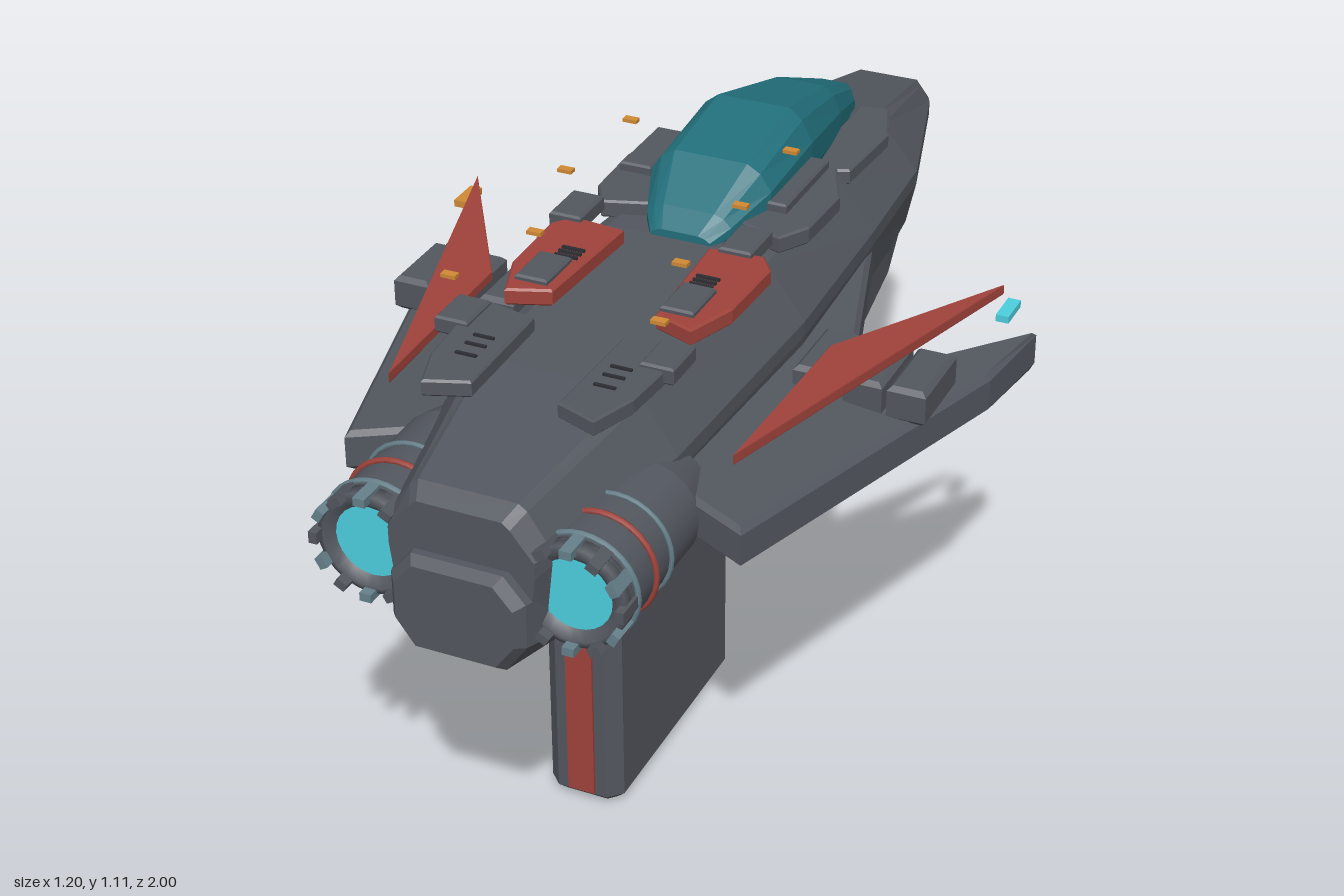
import * as THREE from 'three';

const mat = (name, color) => Object.assign(new THREE.MeshStandardMaterial({ color }), { name });

export function createModel() {
  const M = {
    hull: mat('hull grey', 0x53575f),
    dark: mat('vent dark', 0x2c2e33),
    red: mat('accent red', 0xa0433b),
    glass: mat('canopy teal', 0x22707c),
    glow: mat('engine cyan', 0x4ccfdf),
    amber: mat('marker amber', 0xd08a35),
    trim: mat('trim blue grey', 0x66808a),
  };
  const ship = new THREE.Group();
  ship.name = 'spaceship';

  const add = (name, geo, material, x = 0, y = 0, z = 0, parent = ship) => {
    const m = new THREE.Mesh(geo, material);
    m.name = name;
    m.position.set(x, y, z);
    parent.add(m);
    return m;
  };
  const box = (name, material, x0, x1, y0, y1, z0, z1) =>
    add(name, new THREE.BoxGeometry(Math.abs(x1 - x0), y1 - y0, z1 - z0), material,
      (x0 + x1) / 2, (y0 + y1) / 2, (z0 + z1) / 2);

  // Plate with a bevelled rim, outlined by [x, z] corners
  const plate = (pts, y0, y1, b) => {
    const shape = new THREE.Shape(pts.map(([x, z]) => new THREE.Vector2(x, -z)));
    const g = new THREE.ExtrudeGeometry(shape, {
      depth: y1 - y0 - 2 * b, bevelEnabled: b > 0, bevelSize: b, bevelOffset: -b, bevelThickness: b, bevelSegments: 1,
    });
    return g.rotateX(-Math.PI / 2).translate(0, y0 + b, 0);
  };

  // Faceted body: each section is [z, [x, y]...] for the +x half, bottom to top
  const loft = (sections) => {
    const rings = sections.map(([z, ...half]) => [
      ...half.map(([x, y]) => [x, y, z]),
      ...half.slice().reverse().map(([x, y]) => [-x, y, z]),
    ]);
    const n = rings[0].length, pos = [];
    const tri = (a, b, c) => pos.push(...a, ...b, ...c);
    for (let k = 0; k < rings.length - 1; k++) {
      for (let i = 0; i < n; i++) {
        const j = (i + 1) % n, A = rings[k], B = rings[k + 1];
        tri(A[i], A[j], B[j]);
        tri(A[i], B[j], B[i]);
      }
    }
    const first = rings[0], last = rings[rings.length - 1];
    for (let i = 1; i < n - 1; i++) {
      tri(first[0], first[i + 1], first[i]);
      tri(last[0], last[i], last[i + 1]);
    }
    const g = new THREE.BufferGeometry();
    g.setAttribute('position', new THREE.Float32BufferAttribute(pos, 3));
    g.computeVertexNormals();
    return g;
  };

  // Upper hull: z, widest, top half width, bottom, widest height, top
  add('upperHull', loft([
    [-1, 0.085, 0.06, 0.74, 0.80, 0.845],
    [-0.98, 0.095, 0.07, 0.73, 0.80, 0.855],
    [-0.62, 0.2, 0.11, 0.71, 0.82, 0.93],
    [-0.3, 0.23, 0.14, 0.69, 0.84, 0.96],
    [0.1, 0.25, 0.16, 0.68, 0.85, 0.975],
    [0.6, 0.225, 0.15, 0.68, 0.84, 0.957],
    [0.93, 0.15, 0.1, 0.68, 0.83, 0.915],
    [0.965, 0.135, 0.085, 0.69, 0.82, 0.895],
  ].map(([z, w, t, y0, ym, y1]) =>
    [z, [w * 0.9, y0], [w, ym - 0.02], [w, ym + 0.01], [t + (w - t) * 0.15, y1 - 0.012], [t * 0.92, y1]])), M.hull);

  // Lower hull: z, widest, bottom half width, bottom, top
  add('lowerHull', loft([
    [-0.96, 0.075, 0.055, 0.675, 0.725],
    [-0.94, 0.09, 0.065, 0.665, 0.735],
    [-0.5, 0.19, 0.1, 0.612, 0.75],
    [-0.15, 0.23, 0.13, 0.562, 0.77],
    [0.3, 0.24, 0.13, 0.565, 0.78],
    [0.7, 0.21, 0.13, 0.575, 0.79],
    [0.98, 0.125, 0.085, 0.615, 0.802],
    [1, 0.11, 0.075, 0.63, 0.79],
  ].map(([z, w, b, y0, y1]) => {
    const h = y1 - y0;
    return [z, [b, y0], [w, y0 + h * 0.3], [w, y0 + h * 0.75], [b, y1]];
  })), M.hull);

  // Canopy: z, widest, bottom, top
  add('canopy', loft([
    [-0.69, 0.035, 0.88, 0.945],
    [-0.66, 0.045, 0.89, 0.975],
    [-0.48, 0.085, 0.92, 1.05],
    [-0.24, 0.122, 0.95, 1.11],
    [-0.04, 0.122, 0.96, 1.082],
    [0.06, 0.085, 0.965, 1.02],
    [0.1, 0.06, 0.965, 0.99],
  ].map(([z, w, y0, y1]) => {
    const h = y1 - y0;
    return [z, [w * 0.85, y0], [w, y0 + h * 0.25], [w, y0 + h * 0.6], [w * 0.82, y0 + h * 0.87], [w * 0.6, y1]];
  })), M.glass);

  // Ventral fin with chamfered corners and a trailing stripe
  add('ventralFin', plate([[0.05, 0.55], [0.075, 0.525], [0.075, 0.055], [0.05, 0.03],
    [-0.05, 0.03], [-0.075, 0.055], [-0.075, 0.525], [-0.05, 0.55]], 0, 0.62, 0.02), M.hull);
  box('finStripe', M.red, -0.027, 0.027, 0.025, 0.58, 0.548, 0.556);

  for (const s of [1, -1]) {
    const side = s > 0 ? 'left' : 'right';
    const flip = (pts) => pts.map(([x, z]) => [s * x, z]);

    // Forward-swept wing, drooping toward the tip
    const wing = plate(flip([[0.17, -0.42], [0.21, -0.36], [0.34, 0.07], [0.4, 0.08], [0.6, -0.2],
      [0.578, 0.0], [0.38, 0.69], [0.27, 0.65], [0.12, 0.63]]), -0.04, 0.04, 0.01);
    const p = wing.attributes.position;
    for (let i = 0; i < p.count; i++) p.setY(i, p.getY(i) + 0.765 - 0.125 * (Math.abs(p.getX(i)) - 0.3));
    wing.computeVertexNormals();
    add(side + 'Wing', wing, M.hull);
    add(side + 'WingBlade', plate(flip([[0.55, -0.14], [0.34, 0.2], [0.33, 0.61]]), 0.865, 0.885, 0.002), M.red);
    for (const x of [0.318, 0.415, 0.498]) {
      add(side + 'WingPod', plate([[-0.037, 0.07], [0.037, 0.07], [0.037, 0.23], [-0.037, 0.23]],
        0.775, 0.845, 0.009), M.hull, s * x);
    }
    box(side + 'TipLight', s > 0 ? M.glow : M.amber, s * 0.553, s * 0.578, 0.834, 0.848, -0.16, -0.09);

    // Engine nacelle
    const engine = new THREE.Group();
    engine.name = side + 'Engine';
    engine.position.set(s * 0.19, 0.765, 0);
    ship.add(engine);
    const drum = (name, r0, r1, z0, z1, m) =>
      add(name, new THREE.CylinderGeometry(r1, r0, z1 - z0, 24).rotateX(Math.PI / 2), m, 0, 0, (z0 + z1) / 2, engine);
    drum('nacelleNose', 0.075, 0.098, 0.56, 0.65, M.hull);
    drum('nacelle', 0.098, 0.098, 0.65, 0.92, M.hull);
    drum('exhaustGlow', 0.068, 0.068, 0.9, 0.93, M.glow);
    const band = (name, r, z, t, m) => add(name, new THREE.TorusGeometry(r, t, 6, 32), m, 0, 0, z, engine);
    band('frontBand', 0.1, 0.77, 0.005, M.trim);
    band('redBand', 0.1, 0.83, 0.006, M.red);
    band('rearBand', 0.1, 0.9, 0.006, M.trim);
    add('exhaustRim', new THREE.LatheGeometry([[0.068, 0.91], [0.098, 0.91], [0.098, 0.94], [0.085, 0.945], [0.068, 0.93]]
      .map(([r, z]) => new THREE.Vector2(r, z)), 24).rotateX(Math.PI / 2), 
      Object.assign(M.hull, { side: THREE.DoubleSide }), 0, 0, 0, engine);
    for (let i = 0; i < 12; i++) {
      const a = (i / 12) * Math.PI * 2;
      const lug = add('exhaustLug', new THREE.BoxGeometry(0.016, 0.022, 0.055), i % 2 ? M.trim : M.hull,
        Math.cos(a) * 0.095, Math.sin(a) * 0.095, 0.935, engine);
      lug.rotation.z = a;
    }

    // Dorsal armour plates
    add(side + 'NosePlate', plate(flip([[0.08, -0.6], [0.14, -0.61], [0.18, -0.5], [0.17, -0.32], [0.08, -0.28]]),
      0.93, 0.962, 0.004), M.hull);
    add(side + 'MidPlate', plate(flip([[0.09, -0.25], [0.17, -0.25], [0.22, -0.14], [0.215, 0.0], [0.18, 0.06], [0.09, 0.03]]),
      0.965, 1.0, 0.004), M.hull);
    add(side + 'RedPlate', plate(flip([[0.085, 0.16], [0.19, 0.15], [0.22, 0.19], [0.215, 0.35], [0.18, 0.45], [0.1, 0.42]]),
      0.975, 1.008, 0.004), M.red);
    add(side + 'RearPlate', plate(flip([[0.085, 0.52], [0.18, 0.5], [0.2, 0.56], [0.19, 0.7], [0.16, 0.79], [0.08, 0.76]]),
      0.978, 1.01, 0.004), M.hull);

    // Vent slots
    for (const z of [0.27, 0.285, 0.3]) box('ventSlot', M.dark, s * 0.11, s * 0.155, 1.006, 1.013, z - 0.003, z + 0.003);
    for (const z of [0.62, 0.65, 0.685]) box('ventSlot', M.dark, s * 0.11, s * 0.15, 1.008, 1.014, z - 0.003, z + 0.003);
  }

  // Deck hatches: centre x, z range
  for (const [x, z0, z1] of [[-0.17, -0.24, -0.07], [0.125, -0.24, -0.03], [-0.2, 0.07, 0.17], [0.14, 0.07, 0.17],
    [-0.148, 0.31, 0.41], [0.135, 0.31, 0.41], [-0.205, 0.51, 0.6], [0.185, 0.51, 0.6]]) {
    add('deckHatch', plate([[-0.032, z0], [0.032, z0], [0.032, z1], [-0.032, z1]], 0.985, 1.018, 0.004), M.hull, x);
  }

  // Hovering marker lights
  for (const [x, z] of [[-0.187, -0.09], [-0.205, 0.15], [-0.146, 0.39], [-0.208, 0.59],
    [0.14, -0.09], [0.143, 0.15], [0.135, 0.39], [0.187, 0.59]]) {
    box('markerLight', M.amber, x - 0.014, x + 0.014, 1.096, 1.103, z - 0.008, z + 0.008);
  }
  return ship;
}
